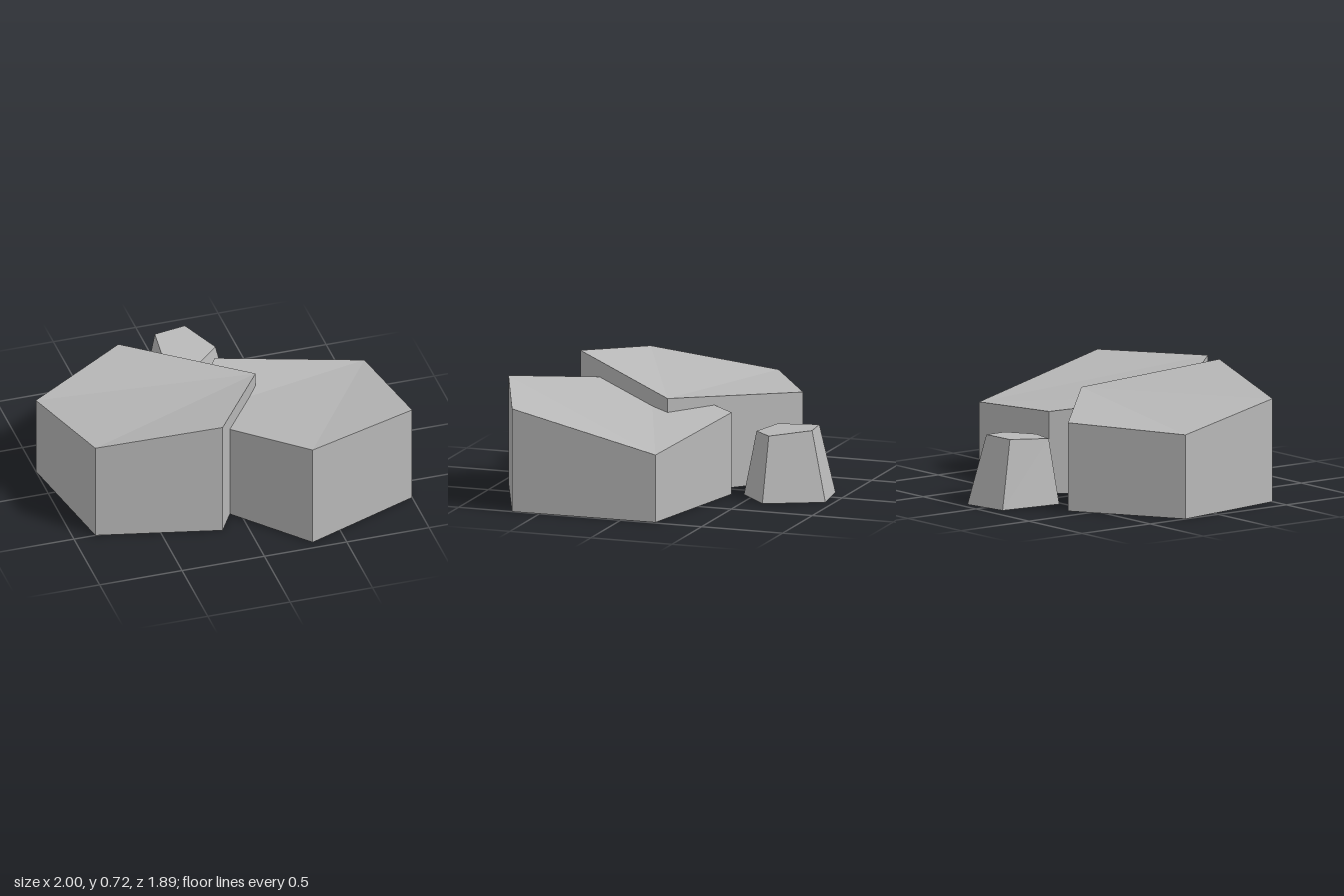
import * as THREE from 'three';

// Faceted rock, open underneath. Each corner is [top x, top y, top z, base x, base z],
// counter-clockwise seen from above; the top is a fan from the first corner.
function rock(name, corners, material) {
  const pos = [];
  const top = (c) => [c[0], c[1], c[2]];
  const base = (c) => [c[3] ?? c[0], 0, c[4] ?? c[2]];
  const n = corners.length;
  for (let i = 0; i < n; i++) {
    const a = corners[i], b = corners[(i + 1) % n];
    // side wall
    pos.push(...base(a), ...base(b), ...top(b), ...base(a), ...top(b), ...top(a));
    // top facet
    if (i > 0 && i < n - 1) pos.push(...top(corners[0]), ...top(a), ...top(b));
  }
  const geometry = new THREE.BufferGeometry();
  geometry.setAttribute('position', new THREE.Float32BufferAttribute(pos, 3));
  geometry.computeVertexNormals();
  const mesh = new THREE.Mesh(geometry, material);
  mesh.name = name;
  return mesh;
}

export function createModel() {
  const group = new THREE.Group();
  group.name = 'rocks';
  const stone = new THREE.MeshStandardMaterial({ color: 0xb8b8b8, side: THREE.DoubleSide, flatShading: true });
  stone.name = 'stone grey';

  // tall slab with vertical walls
  group.add(rock('tallRock', [
    [0.265, 0.57, -0.02],
    [-0.38, 0.52, -0.62],
    [-1.0, 0.495, -0.24],
    [-0.87, 0.607, 0.5],
    [-0.15, 0.717, 0.67],
  ], stone));

  // lower slab, one corner buried in the tall one
  group.add(rock('lowRock', [
    [0.985, 0.4, -0.21],
    [0.125, 0.485, -0.365],
    [-0.267, 0.56, 0.28],
    [0.31, 0.643, 0.945],
    [1.0, 0.61, 0.67],
  ], stone));

  // small tapered stone behind
  group.add(rock('smallRock', [
    [0.21, 0.382, -0.625, 0.305, -0.62],
    [0.095, 0.408, -0.85, 0.145, -0.95],
    [-0.095, 0.403, -0.825, -0.135, -0.91],
    [-0.12, 0.383, -0.56, -0.175, -0.525],
    [0.075, 0.375, -0.5, 0.11, -0.435],
  ], stone));

  return group;
}
